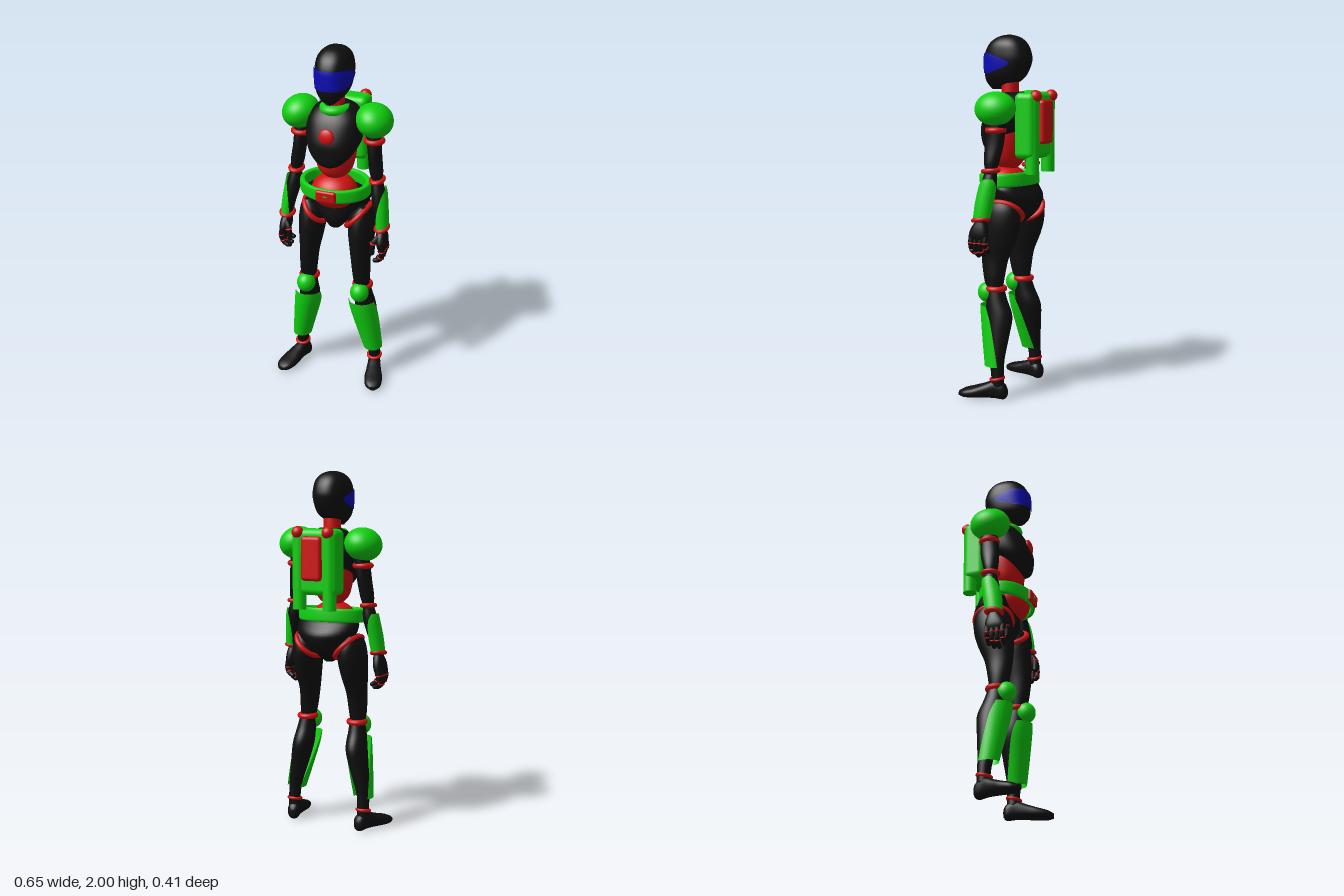
import * as THREE from 'three';
import { RoundedBoxGeometry } from 'three/addons/geometries/RoundedBoxGeometry.js';

const mat = (name, color, side = THREE.FrontSide) => new THREE.MeshStandardMaterial({ name, color, side });

// Catmull-Rom refinement of a short list of cross-sections
function smooth(secs, k = 5) {
  const out = [];
  for (let i = 0; i < secs.length - 1; i++) {
    const a = secs[Math.max(i - 1, 0)], b = secs[i], c = secs[i + 1], d = secs[Math.min(i + 2, secs.length - 1)];
    for (let j = 0; j < k; j++) {
      const t = j / k;
      out.push(b.map((v, n) => v + 0.5 * t * (c[n] - a[n] + t * (2 * a[n] - 5 * v + 4 * c[n] - d[n] + t * (3 * (v - c[n]) + d[n] - a[n])))));
    }
  }
  out.push(secs[secs.length - 1]);
  return out;
}

// Skin over superellipse sections [y, cx, cz, rx, rz, startAngle?, endAngle?], bottom to top; angle 0 faces +z
function loft(secs, e = 2, n = 36) {
  const open = secs[0].length > 5, w = open ? n + 1 : n, pos = [], idx = [];
  const pw = v => Math.sign(v) * Math.abs(v) ** (2 / e);
  for (const [y, cx, cz, rx, rz, a0 = 0, a1 = Math.PI * 2] of secs)
    for (let j = 0; j < w; j++) {
      const t = a0 + (a1 - a0) * j / n;
      pos.push(cx + rx * pw(Math.sin(t)), y, cz + rz * pw(Math.cos(t)));
    }
  for (let i = 0; i < secs.length - 1; i++)
    for (let j = 0; j < n; j++) {
      const a = i * w + j, b = i * w + (j + 1) % w;
      idx.push(a, b, a + w, b, b + w, a + w);
    }
  if (!open) {
    const last = (secs.length - 1) * w, c = pos.length / 3;
    for (const s of [secs[0], secs[secs.length - 1]]) pos.push(s[1], s[0], s[2]);
    for (let j = 0; j < n; j++) {
      const k = (j + 1) % w;
      idx.push(c, k, j, c + 1, last + j, last + k);
    }
  }
  const g = new THREE.BufferGeometry();
  g.setAttribute('position', new THREE.Float32BufferAttribute(pos, 3));
  g.setIndex(idx);
  g.computeVertexNormals();
  return g;
}

const ball = (rx, ry, rz) => new THREE.SphereGeometry(1, 32, 20).scale(rx, ry, rz);
// Horizontal ring
const ring = (R, tube, sz = 1) => new THREE.TorusGeometry(R, tube, 12, 32).rotateX(Math.PI / 2).scale(1, 1, sz);
const tube = (pts, r) => new THREE.TubeGeometry(new THREE.CatmullRomCurve3(pts.map(p => new THREE.Vector3(...p))), 10, r, 10);

export function createModel() {
  const model = new THREE.Group();
  const green = mat('armour green', 0x10d010, THREE.DoubleSide), red = mat('joint red', 0xd01010);
  const black = mat('suit black', 0x0f0f0f), blue = mat('visor blue', 0x0c0cb4);
  const add = (parent, name, geo, m, p = [0, 0, 0], r = [0, 0, 0]) => {
    const mesh = new THREE.Mesh(geo, m);
    mesh.name = name;
    mesh.position.set(...p);
    mesh.rotation.set(...r);
    parent.add(mesh);
    return mesh;
  };

  // Helmet, visor and neck
  const head = smooth([
    [1.705, 0, 0.115, 0.02, 0.025], [1.74, 0, 0.078, 0.06, 0.088], [1.78, 0, 0.058, 0.085, 0.118],
    [1.85, 0, 0.043, 0.095, 0.135], [1.9, 0, 0.042, 0.095, 0.132], [1.95, 0, 0.04, 0.085, 0.108],
    [1.985, 0, 0.038, 0.055, 0.068], [2, 0, 0.038, 0.015, 0.02]]);
  add(model, 'helmet', loft(head, 2.4, 48), black);
  const visor = head.filter(s => s[0] > 1.787 && s[0] < 1.905).map(([y, cx, cz, rx, rz]) => {
    const a = 1.9 - 0.8 * Math.min(1, Math.abs(y - 1.845) / 0.055) ** 1.5;
    return [y, cx, cz, rx + 0.004, rz + 0.004, -a, a];
  });
  add(model, 'visor', loft(visor, 2.4, 40), blue);
  add(model, 'neck', new THREE.CylinderGeometry(0.048, 0.05, 0.13, 24), red, [0, 1.7, 0.03]);
  add(model, 'collar', ring(0.06, 0.028, 1.1), green, [0, 1.66, 0.03]);

  // Torso
  add(model, 'chest', loft(smooth([
    [1.35, 0, 0.12, 0.02, 0.02], [1.375, 0, 0.12, 0.068, 0.055], [1.43, 0, 0.095, 0.12, 0.09],
    [1.5, 0, 0.05, 0.15, 0.135], [1.6, 0, 0.03, 0.15, 0.115], [1.66, 0, 0.01, 0.115, 0.09],
    [1.69, 0, 0.01, 0.06, 0.055]]), 2.3), black);
  add(model, 'chestLight', ball(0.043, 0.043, 0.018), red, [0, 1.54, 0.172], [-0.15, 0, 0]);
  add(model, 'ribs', loft(smooth([
    [1.27, 0, 0.04, 0.05, 0.05], [1.32, 0, 0.04, 0.095, 0.088], [1.42, 0, 0.035, 0.118, 0.105],
    [1.52, 0, 0.02, 0.12, 0.09]])), red);
  add(model, 'abdomen', ball(0.13, 0.1, 0.115), red, [0, 1.185, 0.05]);
  add(model, 'pelvis', loft(smooth([
    [0.945, 0, 0.01, 0.02, 0.03], [0.97, 0, 0.01, 0.045, 0.07], [1.03, 0, -0.01, 0.1, 0.115],
    [1.1, 0, -0.025, 0.168, 0.127], [1.16, 0, -0.01, 0.187, 0.11], [1.185, 0, 0, 0.17, 0.1]])), black);

  // Belt: rounded band swept round an oval
  const band = [];
  for (let i = 0; i <= 20; i++) {
    const t = -Math.PI / 2 + i / 20 * Math.PI * 2;
    const f = v => Math.sign(v) * Math.sqrt(Math.abs(v));
    band.push(new THREE.Vector2(0.185 + 0.016 * f(Math.cos(t)), 0.038 * f(Math.sin(t))));
  }
  const belt = new THREE.Group();
  belt.name = 'belt';
  belt.position.set(0, 1.21, 0.035);
  belt.rotation.x = 0.06;
  model.add(belt);
  add(belt, 'beltBand', new THREE.LatheGeometry(band, 48).scale(1, 1, 0.77), green);
  add(belt, 'buckle', new RoundedBoxGeometry(0.115, 0.068, 0.03, 3, 0.012), red, [0, 0, 0.15]);
  add(belt, 'buckleMark', new THREE.BoxGeometry(0.025, 0.007, 0.004), green, [0, 0.005, 0.166]);

  // Backpack
  add(model, 'backpack', new RoundedBoxGeometry(0.28, 0.36, 0.125, 5, 0.035), green, [0, 1.51, -0.122]);
  add(model, 'backpackPanel', new RoundedBoxGeometry(0.125, 0.24, 0.05, 3, 0.02), red, [0, 1.53, -0.185]);

  // Everything paired: built on the left, then mirrored
  const left = new THREE.Group();
  add(left, 'tank', new THREE.CylinderGeometry(0.037, 0.037, 0.41, 24), green, [0.095, 1.455, -0.157]);
  add(left, 'tankCap', ball(0.033, 0.033, 0.033), red, [0.095, 1.67, -0.177]);

  // Arm
  add(left, 'shoulderPad', ball(0.102, 0.09, 0.115), green, [0.21, 1.605, 0.008], [0, 0, -0.35]);
  add(left, 'upperArmRing', ring(0.043, 0.016), red, [0.21, 1.49, 0.005]);
  add(left, 'upperArm', loft(smooth([
    [1.265, 0.236, 0.022, 0.025, 0.03], [1.32, 0.229, 0.02, 0.037, 0.043],
    [1.42, 0.216, 0.01, 0.036, 0.055], [1.53, 0.205, 0, 0.042, 0.05]])), black);
  add(left, 'elbowRing', ring(0.033, 0.012, 1.25), red, [0.236, 1.272, 0.022], [0.1, 0, 0.1]);
  add(left, 'forearm', loft(smooth([
    [1.0, 0.28, 0.058, 0.025, 0.03], [1.08, 0.268, 0.048, 0.033, 0.042],
    [1.19, 0.247, 0.03, 0.04, 0.046], [1.26, 0.237, 0.022, 0.03, 0.035]])), black);
  const H = Math.PI / 2;
  add(left, 'forearmGuard', loft(smooth([
    [1.01, 0.279, 0.058, 0.038, 0.048, H - 2.2, H + 2.2], [1.1, 0.265, 0.046, 0.045, 0.053, H - 1.7, H + 1.9],
    [1.19, 0.25, 0.03, 0.048, 0.053, H - 1, H + 1.4], [1.23, 0.246, 0.026, 0.044, 0.048, H - 0.3, H + 0.9]])), green);
  add(left, 'wristRing', ring(0.033, 0.012, 1.25), red, [0.28, 1.008, 0.06], [0.15, 0, 0.15]);
  add(left, 'palm', loft(smooth([
    [0.885, 0.288, 0.07, 0.016, 0.048], [0.92, 0.288, 0.07, 0.028, 0.058],
    [0.96, 0.284, 0.066, 0.03, 0.05], [1.0, 0.28, 0.06, 0.024, 0.03]]), 2.4), black);
  for (let i = 0; i < 4; i++) {
    const z = 0.026 + i * 0.029, low = [0.835, 0.815, 0.81, 0.825][i];
    add(left, 'finger', tube([[0.295, 0.92, z], [0.3, 0.875, z], [0.285, low + 0.015, z], [0.262, low, z]], 0.0135), black);
    add(left, 'fingertip', ball(0.0135, 0.0135, 0.0135), black, [0.262, low, z]);
    add(left, 'knuckle', ring(0.0125, 0.004), red, [0.299, 0.882, z]);
    add(left, 'fingerJoint', ring(0.0125, 0.004), red, [0.289, low + 0.022, z], [0, 0, -0.5]);
  }
  add(left, 'thumb', tube([[0.272, 0.965, 0.1], [0.25, 0.93, 0.118], [0.244, 0.875, 0.118]], 0.015), black);
  add(left, 'thumbTip', ball(0.015, 0.018, 0.015), black, [0.244, 0.875, 0.118]);
  add(left, 'thumbRing', ring(0.0145, 0.005), red, [0.25, 0.93, 0.118], [0, 0, -0.25]);

  // Leg
  add(left, 'hipRing', ring(0.088, 0.014, 1.2), red, [0.125, 1.035, 0], [0, 0, 0.8]);
  add(left, 'thigh', loft(smooth([
    [0.6, 0.163, 0.04, 0.04, 0.045], [0.68, 0.16, 0.045, 0.048, 0.062], [0.78, 0.154, 0.042, 0.052, 0.08],
    [0.88, 0.15, 0.022, 0.065, 0.102], [0.97, 0.147, 0.008, 0.074, 0.112], [1.05, 0.148, 0, 0.066, 0.1],
    [1.105, 0.163, 0, 0.03, 0.06]])), black);
  add(left, 'kneeRing', ring(0.044, 0.016), red, [0.163, 0.612, 0.03]);
  add(left, 'kneePad', ball(0.053, 0.058, 0.055), green, [0.163, 0.585, 0.086]);
  add(left, 'shin', loft(smooth([
    [0.08, 0.228, -0.012, 0.034, 0.036], [0.14, 0.228, -0.012, 0.033, 0.036], [0.22, 0.222, -0.005, 0.036, 0.043],
    [0.35, 0.196, 0, 0.05, 0.062], [0.46, 0.175, 0.005, 0.057, 0.076], [0.55, 0.168, 0.025, 0.05, 0.06],
    [0.61, 0.164, 0.03, 0.042, 0.045]])), black);
  add(left, 'shinGuard', loft(smooth([
    [0.19, 0.223, 0.005, 0.054, 0.06, -2.2, 2.2], [0.32, 0.198, 0.018, 0.067, 0.072, -1.9, 1.9],
    [0.45, 0.173, 0.028, 0.079, 0.085, -1.6, 1.6], [0.52, 0.163, 0.033, 0.08, 0.088, -1.3, 1.3]])), green);
  add(left, 'ankleRing', ring(0.036, 0.009), red, [0.228, 0.118, -0.01], [0.2, 0, 0]);
  add(left, 'foot', loft(smooth([
    [-0.052, 0, -0.04, 0.012, 0.02], [-0.032, 0, -0.046, 0.034, 0.044], [0.02, 0, -0.056, 0.037, 0.05],
    [0.08, 0, -0.046, 0.045, 0.04], [0.135, 0, -0.036, 0.052, 0.032], [0.19, 0, -0.028, 0.045, 0.024],
    [0.222, 0, -0.023, 0.02, 0.012]]), 2.4).rotateX(Math.PI / 2), black, [0.226, 0, -0.015], [0, 0.29, 0]);

  // Mirror by baking each transform, flipping x and reversing the faces
  const right = new THREE.Group();
  left.name = 'leftSide';
  right.name = 'rightSide';
  for (const m of left.children) {
    m.updateMatrix();
    const g = m.geometry.clone().applyMatrix4(m.matrix).scale(-1, 1, 1);
    g.index.array.reverse();
    add(right, m.name, g, m.material);
  }
  model.add(left, right);
  return model;
}
